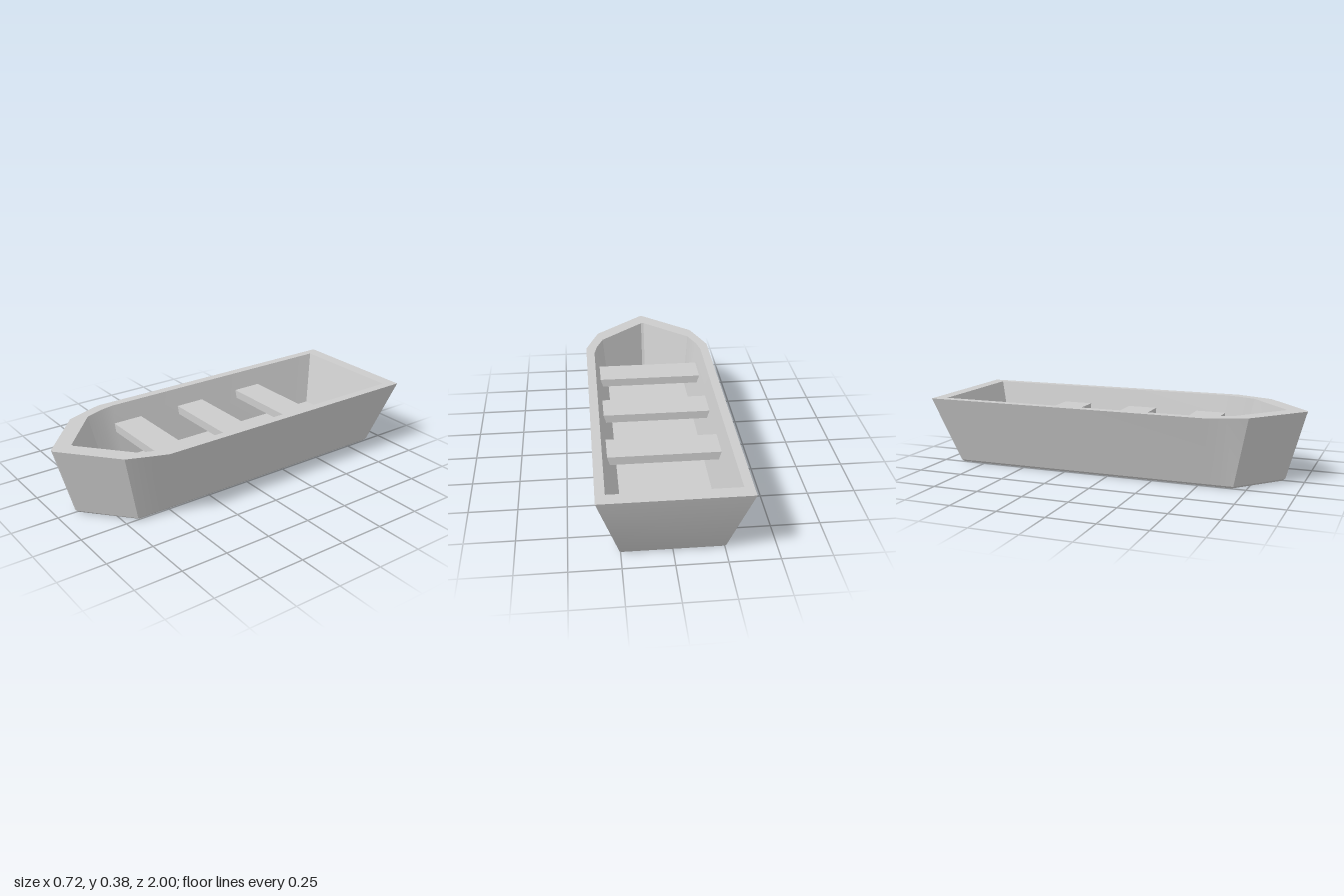
import * as THREE from 'three';
import { toCreasedNormals } from 'three/addons/utils/BufferGeometryUtils.js';

// Outline at height y from the half outline [x, z], stern to bow, mirrored to the other side
function ring(y, half) {
  const left = half.map(([x, z]) => [x, y, z]);
  const right = half.map(([x, z]) => [-x, y, z]).reverse();
  return [...left, ...right];
}

// Skin consecutive outlines and cap the first and last
function loft(rings) {
  const n = rings[0].length;
  const index = [];
  for (let r = 0; r < rings.length - 1; r++) {
    for (let i = 0; i < n; i++) {
      const j = (i + 1) % n;
      const a = r * n + i, b = a + n, c = (r + 1) * n + j, d = r * n + j;
      index.push(a, b, c, a, c, d);
    }
  }
  const top = (rings.length - 1) * n;
  for (let i = 1; i < n - 1; i++) {
    index.push(0, i, i + 1);
    index.push(top, top + i + 1, top + i);
  }
  const geometry = new THREE.BufferGeometry();
  geometry.setAttribute('position', new THREE.Float32BufferAttribute(rings.flat(2), 3));
  geometry.setIndex(index);
  return toCreasedNormals(geometry, 0.42);
}

export function createModel() {
  const boat = new THREE.Group();
  boat.name = 'rowingBoat';
  const material = new THREE.MeshStandardMaterial({ color: 0xcccccc });

  // Hull: keel edge, flared outer wall, flat rim, inner wall and floor
  const hull = new THREE.Mesh(loft([
    ring(0, [[0.243, -0.88], [0.243, 0.55], [0.243, 0.615], [0.243, 0.675], [0.008, 0.885]]),
    ring(0.012, [[0.255, -0.89], [0.255, 0.55], [0.255, 0.615], [0.255, 0.685], [0.009, 0.9]]),
    ring(0.375, [[0.362, -1], [0.362, 0.555], [0.325, 0.657], [0.285, 0.76], [0.009, 1]]),
    ring(0.375, [[0.315, -0.93], [0.315, 0.49], [0.299, 0.57], [0.26, 0.67], [0.008, 0.89]]),
    ring(0.095, [[0.235, -0.845], [0.235, 0.49], [0.235, 0.55], [0.235, 0.61], [0.008, 0.81]]),
  ]), material);
  hull.name = 'hull';
  boat.add(hull);

  // Three bench seats across the hull
  const seatGeometry = new THREE.BoxGeometry(0.58, 0.045, 0.168);
  [-0.405, 0.005, 0.415].forEach((z, i) => {
    const seat = new THREE.Mesh(seatGeometry, material);
    seat.name = `seat${i + 1}`;
    seat.position.set(0, 0.258, z);
    boat.add(seat);
  });

  return boat;
}
